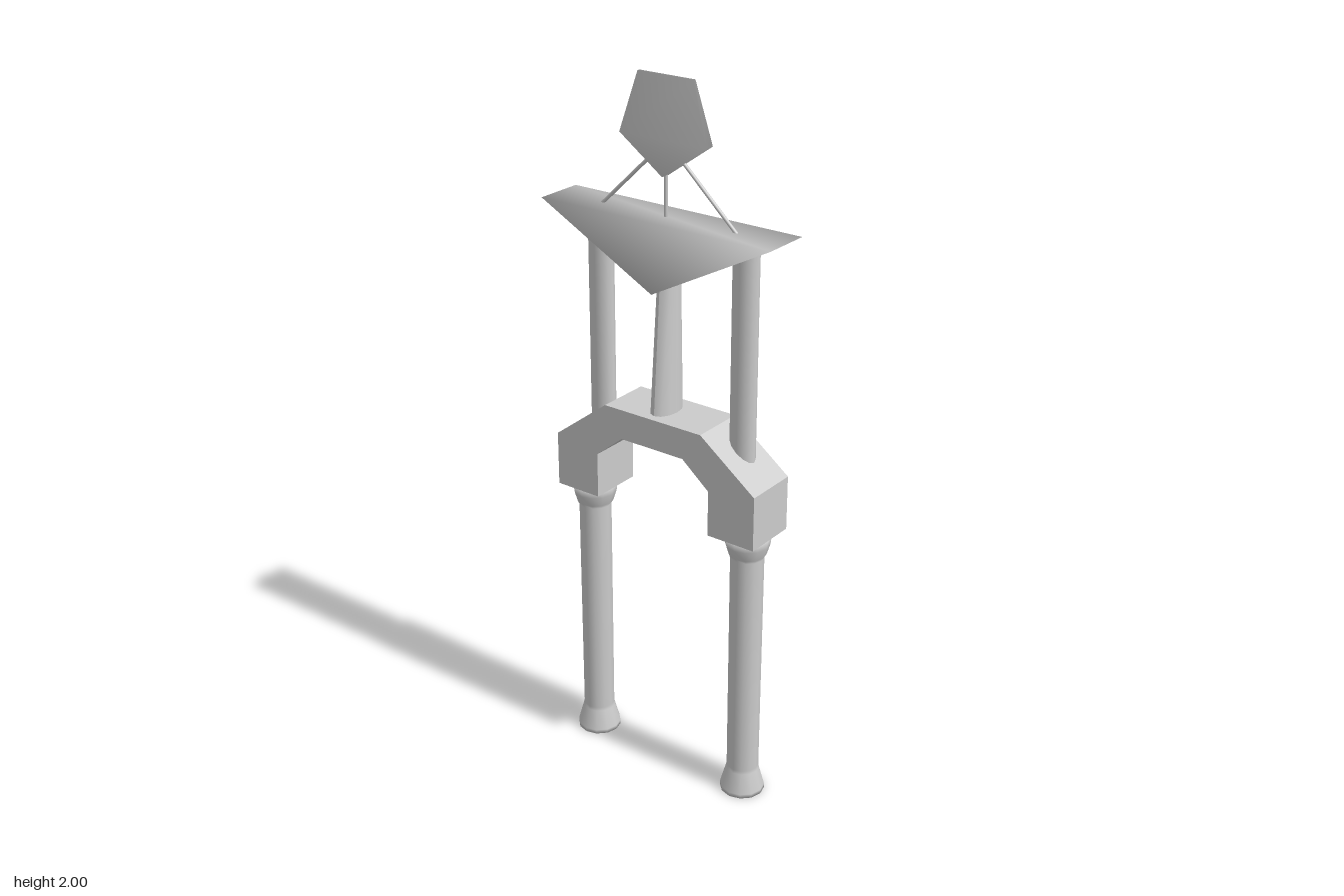
import * as THREE from 'three';
import { mergeVertices } from 'three/addons/utils/BufferGeometryUtils.js';

const grey = new THREE.MeshStandardMaterial({ color: 0xcccccc });

function add(group, name, geometry, x = 0, y = 0, z = 0) {
  const mesh = new THREE.Mesh(geometry, grey);
  mesh.name = name;
  mesh.position.set(x, y, z);
  group.add(mesh);
  return mesh;
}

// Flat outline pushed from z0 to z1
function slab(points, z0, z1) {
  const shape = new THREE.Shape(points.map(([x, y]) => new THREE.Vector2(x, y)));
  const geometry = new THREE.ExtrudeGeometry(shape, { depth: z1 - z0, bevelEnabled: false });
  return geometry.translate(0, 0, z0);
}

// Shared corners with averaged normals
function smooth(geometry) {
  geometry.deleteAttribute('normal');
  geometry.deleteAttribute('uv');
  const merged = mergeVertices(geometry, 1e-4);
  merged.computeVertexNormals();
  return merged;
}

// Thin straight rod between two points
function rod(group, name, from, to) {
  const a = new THREE.Vector3(...from), b = new THREE.Vector3(...to);
  const mesh = add(group, name, new THREE.CylinderGeometry(0.005, 0.005, a.distanceTo(b), 6));
  mesh.position.copy(a).lerp(b, 0.5);
  mesh.quaternion.setFromUnitVectors(new THREE.Vector3(0, 1, 0), b.sub(a).normalize());
}

export function createModel() {
  const model = new THREE.Group();
  model.name = 'archFigure';

  // Legs with flared foot and capital
  const legProfile = [
    [0, 0], [0.063, 0], [0.063, 0.012], [0.047, 0.07], [0.045, 0.08],
    [0.046, 0.75], [0.052, 0.76], [0.061, 0.79], [0.065, 0.82], [0, 0.82],
  ].map(([r, y]) => new THREE.Vector2(r, y));
  for (const [name, x] of [['rightLeg', -0.254], ['leftLeg', 0.268]]) {
    add(model, name, new THREE.LatheGeometry(legProfile, 12), x);
  }

  // Faceted arch
  add(model, 'arch', slab([
    [-0.32, 0.82], [-0.18, 0.82], [-0.18, 0.95], [-0.095, 1.02], [0.108, 1.02], [0.192, 0.95],
    [0.192, 0.82], [0.337, 0.82], [0.337, 0.975], [0.165, 1.105], [-0.15, 1.105], [-0.32, 0.975],
  ], -0.08, 0.077));

  // Oval side columns
  for (const [name, x] of [['rightColumn', -0.227], ['leftColumn', 0.237]]) {
    const column = new THREE.CylinderGeometry(0.037, 0.037, 0.58, 12).scale(1, 1, 0.79);
    add(model, name, column, x, 1.31, -0.013);
  }

  // Tapered middle column, leaning slightly back
  const middle = new THREE.CylinderGeometry(0.7, 1, 0.4, 12);
  middle.scale(0.035, 1, 0.056);
  const p = middle.attributes.position;
  for (let i = 0; i < p.count; i++) {
    p.setZ(i, p.getZ(i) - 0.012 * (p.getY(i) + 0.2) / 0.4);
  }
  middle.computeVertexNormals();
  add(model, 'middleColumn', middle, -0.002, 1.3, -0.001);

  // Triangular shoulder wedge
  add(model, 'shoulders', smooth(slab([[-0.36, 1.64], [0, 1.45], [0.36, 1.64]], -0.072, 0.067)));

  // Neck rods
  rod(model, 'rightNeckRod', [-0.212, 1.635, 0], [-0.05, 1.79, 0]);
  rod(model, 'leftNeckRod', [0.217, 1.635, 0], [0.05, 1.79, 0]);
  rod(model, 'middleNeckRod', [-0.003, 1.635, 0], [-0.003, 1.76, 0]);

  // Five-sided head, thinning to the top
  const head = slab(
    [[-0.14, 1.84], [-0.005, 1.745], [0.13, 1.84], [0.083, 2], [-0.088, 2]], -0.014, 0.014);
  const h = head.attributes.position;
  for (let i = 0; i < h.count; i++) if (h.getY(i) > 1.95) h.setZ(i, h.getZ(i) * 0.3);
  add(model, 'head', smooth(head));

  return model;
}
